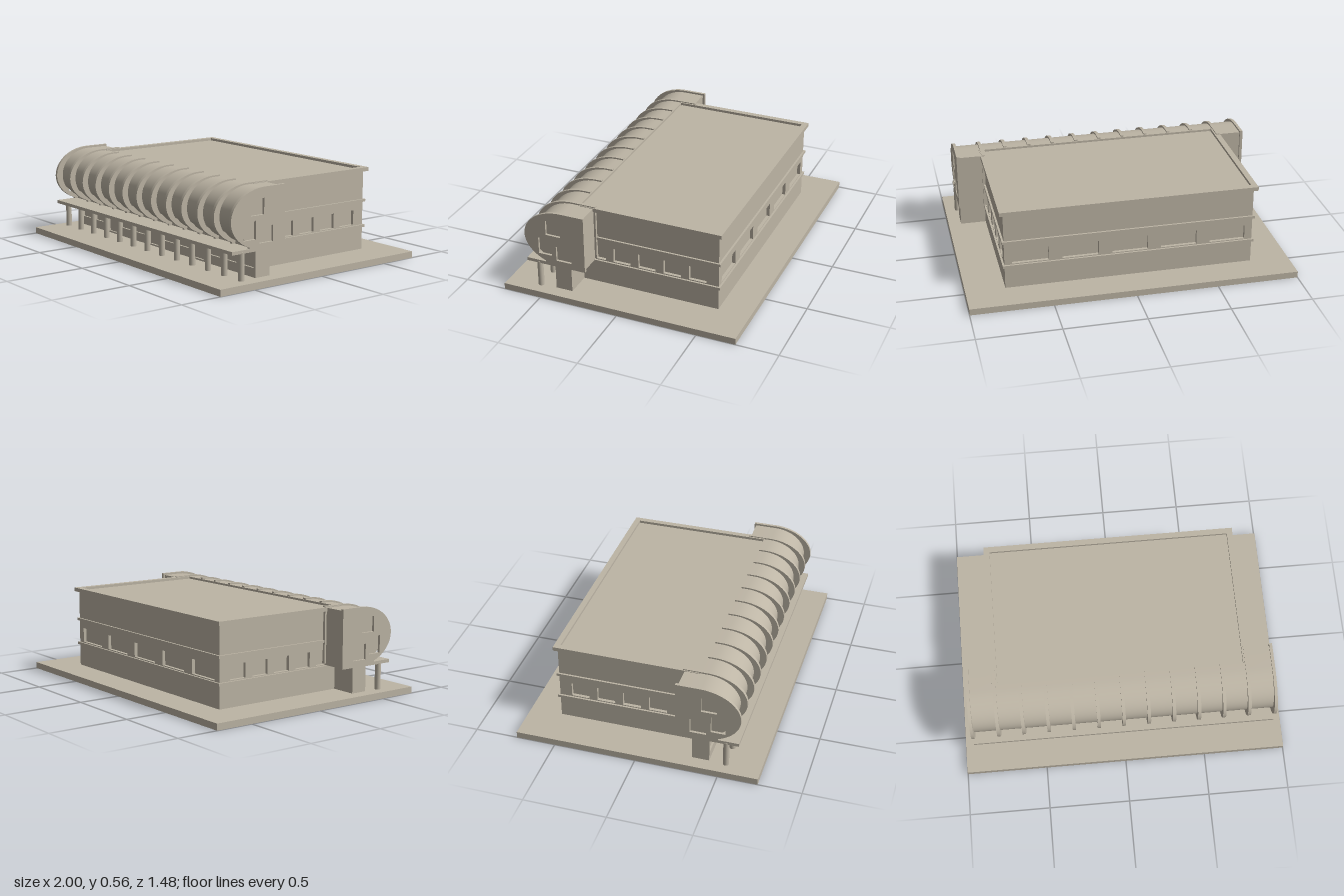
import * as THREE from 'three';
import { toCreasedNormals } from 'three/addons/utils/BufferGeometryUtils.js';

const stone = new THREE.MeshStandardMaterial({ color: 0xbdb5a5 });
stone.name = 'stone';

export function createModel() {
  const model = new THREE.Group();
  model.name = 'hall';

  function add(name, geometry, x = 0, y = 0, z = 0) {
    const mesh = new THREE.Mesh(geometry, stone);
    mesh.name = name;
    mesh.position.set(x, y, z);
    model.add(mesh);
    return mesh;
  }
  // box given by its limits
  const box = (name, x0, x1, y0, y1, z0, z1) =>
    add(name, new THREE.BoxGeometry(x1 - x0, y1 - y0, z1 - z0), (x0 + x1) / 2, (y0 + y1) / 2, (z0 + z1) / 2);

  const rect = (C, x0, x1, y0, y1) => {
    const s = new C();
    s.moveTo(x0, y0);
    s.lineTo(x1, y0);
    s.lineTo(x1, y1);
    s.lineTo(x0, y1);
    s.closePath();
    return s;
  };
  // wall in the xy plane, pierced by [x0, x1, y0, y1] openings
  function wall(limits, openings, depth) {
    const s = rect(THREE.Shape, ...limits);
    openings.forEach(o => s.holes.push(rect(THREE.Path, ...o)));
    return new THREE.ExtrudeGeometry(s, { depth, bevelEnabled: false });
  }
  // cross-section of the rounded front: x is depth (z), y is height
  function section(back, bottom, rx, ry, lip = 0) {
    const s = new THREE.Shape();
    const end = -1.1, cz = 0.374, cy = 0.383, n = 32;
    s.moveTo(back, bottom);
    s.lineTo(cz + rx * Math.cos(end), bottom);
    for (let i = 0; i <= n; i++) {
      const a = end + (Math.PI / 2 - end) * i / n;
      const r = cy + ry * Math.sin(a) < 0.3 ? rx - lip : rx;
      s.lineTo(cz + r * Math.cos(a), cy + ry * Math.sin(a));
    }
    s.lineTo(back, cy + ry);
    s.closePath();
    return s;
  }
  // sweep a cross-section along x, centred on cx
  function sweep(name, shape, width, cx) {
    const g = new THREE.ExtrudeGeometry(shape, { depth: width, bevelEnabled: false });
    g.rotateY(-Math.PI / 2).translate(width / 2, 0, 0);
    return add(name, toCreasedNormals(g, 0.5), cx);
  }

  // ground and main hall
  box('groundSlab', -1, 1, 0, 0.04, -0.74, 0.74);
  box('hallCore', -0.74, 0.74, 0.04, 0.535, -0.523, 0.335);

  // back wall with five wide windows
  const backWindows = [-2, -1, 0, 1, 2].map(i => [i * 0.302 - 0.11, i * 0.302 + 0.11, 0.2, 0.29]);
  add('backWall', wall([-0.76, 0.76, 0.04, 0.535], backWindows, 0.02), 0, 0, -0.543);

  // side walls with five windows each
  const sideWindows = [0, 1, 2, 3, 4].map(i => [-0.468 + i * 0.161, -0.357 + i * 0.161, 0.2, 0.29]);
  for (const side of [-1, 1]) {
    const g = wall([-0.543, 0.325, 0.04, 0.535], sideWindows, 0.02);
    g.rotateY(-Math.PI / 2);
    add('sideWall', g, side > 0 ? 0.76 : -0.74);
  }

  // ledges and roof parapet
  for (const [y0, y1, out] of [[0.178, 0.194, 0.012], [0.337, 0.353, 0.012]]) {
    box('backLedge', -0.76 - out, 0.76 + out, y0, y1, -0.543 - out, -0.53);
    for (const s of [-1, 1]) {
      const a = s * 0.75, b = s * (0.76 + out);
      box('sideLedge', Math.min(a, b), Math.max(a, b), y0, y1, -0.543 - out, 0.325);
    }
  }
  box('backParapet', -0.783, 0.783, 0.527, 0.551, -0.564, -0.528);
  box('leftParapet', 0.747, 0.783, 0.527, 0.551, -0.528, 0.335);
  box('rightParapet', -0.783, -0.747, 0.527, 0.551, -0.528, 0.335);

  // ground floor front: windows with three doors among them
  const pitch = 1.84 / 12;
  const openings = [];
  for (let i = 0; i < 12; i++) {
    const x = -0.92 + pitch * (i + 0.5);
    openings.push(i % 3 === 2 && i < 11 ? [x - 0.05, x + 0.05, 0.05, 0.165] : [x - 0.058, x + 0.058, 0.095, 0.16]);
  }
  box('entranceCore', -0.92, 0.92, 0.04, 0.2, 0.325, 0.418);
  add('entranceWall', wall([-0.92, 0.92, 0.04, 0.2], openings, 0.012), 0, 0, 0.418);

  // canopy and its columns
  box('canopy', -0.935, 0.935, 0.198, 0.218, 0.325, 0.608);
  const columnGeometry = new THREE.CylinderGeometry(0.018, 0.018, 0.165, 20);
  for (let i = 0; i <= 12; i++) add('column', columnGeometry, -0.92 + pitch * i, 0.1225, 0.531);

  // rounded upper gallery and its two wings
  sweep('gallery', section(0.33, 0.2, 0.2, 0.165, 0.012), 1.54, 0);
  for (const s of [-1, 1]) sweep('galleryWing', section(0.24, 0.2, 0.2, 0.165, 0.012), 0.155, s * 0.8425);

  // ribs between the end walls
  for (let i = 1; i < 12; i++) {
    const outer = i === 1 || i === 11;
    sweep('rib', section(outer ? 0.228 : 0.335, 0.21, 0.24, 0.174), 0.02, -0.92 + pitch * i);
  }

  // end walls with three windows each
  const endWindows = [[0.381, 0.476, 0.402, 0.497], [0.44, 0.527, 0.267, 0.374], [0.315, 0.413, 0.24, 0.335]];
  for (const s of [-1, 1]) {
    const shape = section(0.228, 0.2, 0.243, 0.177);
    endWindows.forEach(o => shape.holes.push(rect(THREE.Path, ...o)));
    sweep('endWall', shape, 0.018, s * 0.926);
  }
  return model;
}
